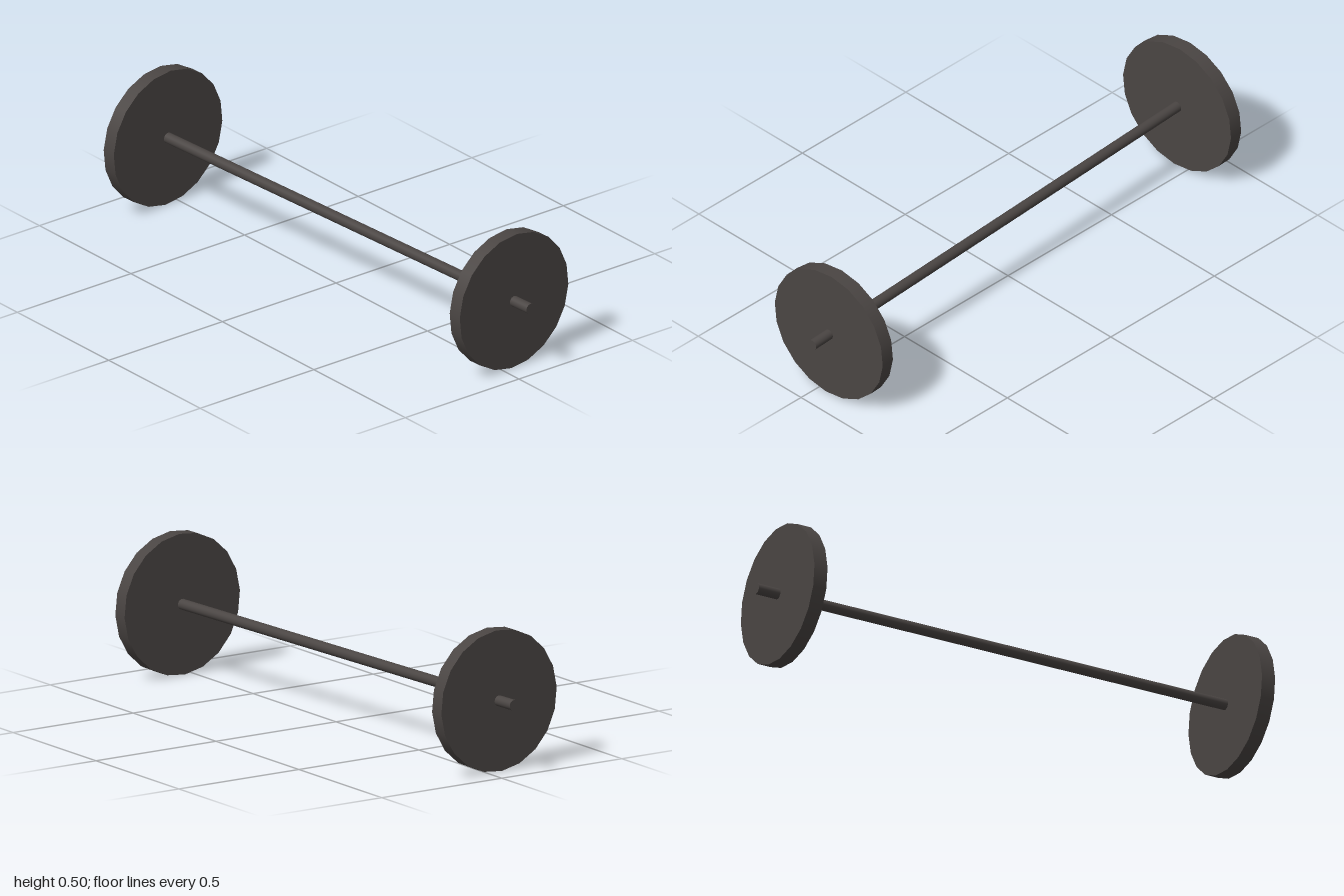
import * as THREE from 'three';

export function createModel() {
  const model = new THREE.Group();
  model.name = 'barbell';
  const iron = new THREE.MeshStandardMaterial({ color: 0x4a4543 });
  iron.name = 'dark iron';

  // Cylinder lying along x, its facets rolled slightly about the bar
  const disc = (name, radius, length, sides, x) => {
    const geometry = new THREE.CylinderGeometry(radius, radius, length, sides);
    geometry.rotateZ(-Math.PI / 2).rotateX(-0.052);
    const mesh = new THREE.Mesh(geometry, iron);
    mesh.name = name;
    mesh.position.x = x;
    return mesh;
  };

  // Long bar with a weight near each end
  const barbell = new THREE.Group();
  barbell.name = 'barAndWeights';
  barbell.add(disc('bar', 0.019, 2.0, 20, 0));
  barbell.add(disc('leftWeight', 0.25, 0.052, 20, 0.889));
  barbell.add(disc('rightWeight', 0.25, 0.052, 20, -0.889));

  // The whole barbell rests slightly askew on the ground
  barbell.rotation.y = 0.0525;
  barbell.position.y = 0.25;
  model.add(barbell);
  return model;
}
